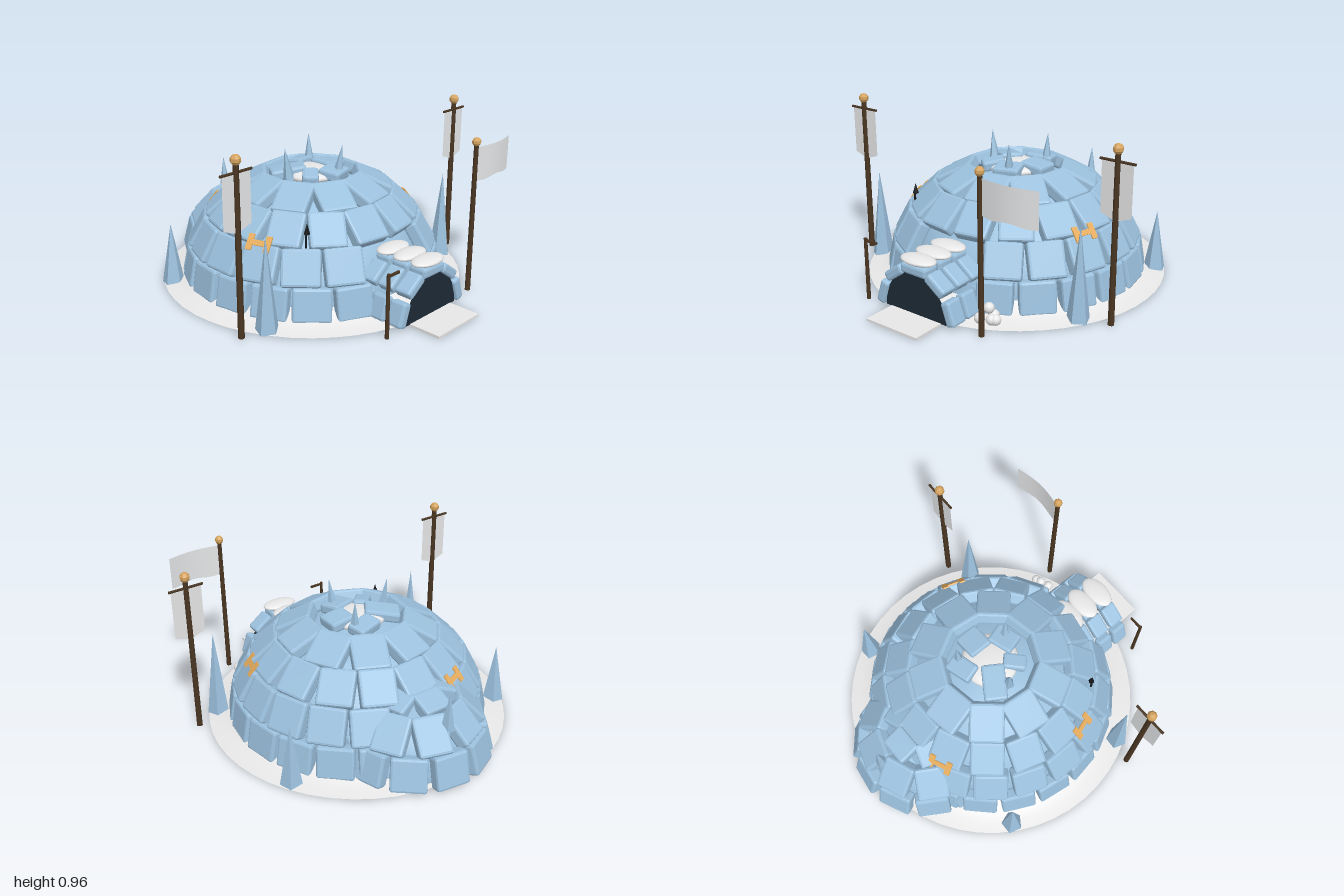
import * as THREE from 'three';
import { RoundedBoxGeometry } from 'three/addons/geometries/RoundedBoxGeometry.js';

const mat = (name, color, side = THREE.FrontSide) => {
  const m = new THREE.MeshStandardMaterial({ color, side });
  m.name = name;
  return m;
};

export function createModel() {
  const model = new THREE.Group();
  const ice = mat('ice blue', 0x9cc1de, THREE.DoubleSide);
  const snow = mat('snow', 0xf0f0f0, THREE.DoubleSide);
  const cloth = mat('pale cloth', 0xe6e7e8, THREE.DoubleSide);
  const wood = mat('dark wood', 0x4a3622);
  const gold = mat('gold', 0xd6a45e);
  const rune = mat('amber rune', 0xeab060);
  const dark = mat('dark doorway', 0x1d2a36, THREE.DoubleSide);
  const black = mat('black', 0x15171a);

  let seed = 7;
  const jitter = (amount) => {
    seed = (seed * 16807) % 2147483647;
    return (seed / 2147483647 - 0.5) * 2 * amount;
  };
  const add = (name, geometry, material, x = 0, y = 0, z = 0, parent = model) => {
    const mesh = new THREE.Mesh(geometry, material);
    mesh.name = name;
    mesh.position.set(x, y, z);
    parent.add(mesh);
    return mesh;
  };
  const faceted = (geometry) => {
    const g = geometry.index ? geometry.toNonIndexed() : geometry;
    g.computeVertexNormals();
    return g;
  };
  // Ice block with chamfered edges
  const block = (w, h, d) => faceted(new RoundedBoxGeometry(w, h, d, 1, 0.014));
  const knob = (r) => faceted(new THREE.SphereGeometry(r, 8, 5));

  // Puts an object on an elliptical dome: azimuth from +z, height y, facing outward
  const placeOnDome = (object, dome, azimuth, y) => {
    const s = Math.min(y / dome.b, 0.999), c = Math.sqrt(1 - s * s), r = dome.a * c;
    object.position.set(r * Math.sin(azimuth), y, dome.z + r * Math.cos(azimuth));
    object.rotation.set(-Math.atan2(s / dome.b, c / dome.a), azimuth, 0, 'YXZ');
    return object;
  };

  // Smooth shell plus tilted rows of blocks
  const buildDome = (name, dome, rows) => {
    const shell = add(name + 'Shell', new THREE.SphereGeometry(1, 48, 20, 0, Math.PI * 2, 0, Math.PI / 2), ice, 0, 0.005, dome.z);
    shell.scale.set(dome.a - 0.052, dome.b - 0.045, dome.a - 0.052);
    const radius = (y) => dome.a * Math.sqrt(Math.max(0, 1 - (y / dome.b) ** 2));
    rows.forEach(({ y0, y1, n, phase, gap = 0 }, i) => {
      const row = new THREE.Group();
      row.name = name + 'Row' + (i + 1);
      model.add(row);
      const y = (y0 + y1) / 2;
      const height = Math.hypot(y1 - y0, radius(y0) - radius(y1)) * 1.02;
      const width = (Math.PI * 2 * radius(y) / n) * 0.92;
      for (let k = 0; k < n; k++) {
        const azimuth = ((k + phase) / n) * Math.PI * 2;
        const x = radius(y) * Math.sin(azimuth);
        if (Math.abs(x) < gap && Math.cos(azimuth) > 0) continue;
        const b = add('iceBlock', block(width * (1 + jitter(0.04)), height, 0.075), ice, 0, 0, 0, row);
        placeOnDome(b, dome, azimuth, y);
        b.rotation.x += jitter(0.03);
        b.rotation.z += jitter(0.03);
      }
    });
  };
  buildDome('mainDome', { a: 0.70, b: 0.62, z: -0.06 }, [
    { y0: 0.015, y1: 0.19, n: 20, phase: 0.5, gap: 0.25 },
    { y0: 0.19, y1: 0.36, n: 18, phase: 0.5, gap: 0.2 },
    { y0: 0.36, y1: 0.495, n: 15, phase: 0.5 },
    { y0: 0.495, y1: 0.587, n: 10, phase: 0.3 },
  ]);
  buildDome('rearDome', { a: 0.395, b: 0.385, z: -0.56 }, [
    { y0: 0.015, y1: 0.19, n: 11, phase: 0.25 },
    { y0: 0.19, y1: 0.335, n: 9, phase: 0 },
    { y0: 0.335, y1: 0.38, n: 5, phase: 0.5 },
  ]);

  // Loose blocks on the crown: [x, z, width, depth, turn]
  for (const [x, z, w, d, turn] of [[-0.12, -0.13, 0.2, 0.13, -0.6], [0.135, -0.065, 0.15, 0.14, 0], [0.04, 0.075, 0.15, 0.13, 0.3], [-0.1, 0.03, 0.13, 0.09, 0.8], [0.06, -0.21, 0.16, 0.11, 0.25]]) {
    const b = add('crownBlock', block(w, 0.06, d), ice, x, 0.607, z);
    b.rotation.set((z + 0.06) * 0.9, turn, -x * 0.9);
  }

  // Snow drift around the base, on the crown and at the doorstep
  const drift = [[0.86, 0.003], [0.8, 0.011], [0.75, 0.024], [0.71, 0.043], [0.67, 0.075]];
  add('snowDrift', new THREE.LatheGeometry(drift.map((p) => new THREE.Vector2(...p)), 48), snow, 0, 0, -0.06);
  add('snowCrown', new THREE.SphereGeometry(0.16, 24, 12), snow, 0, 0.59, -0.06).scale.y = 0.25;
  add('doorstep', new THREE.BoxGeometry(0.34, 0.014, 0.22), snow, 0, 0.008, 0.89);

  // Entrance tunnel: three arches, each topped with a snow pad
  for (const z of [0.55, 0.665, 0.78]) {
    const arch = new THREE.Group();
    arch.name = 'entranceArch';
    model.add(arch);
    for (let k = 0; k < 5; k++) {
      const t = ((k + 0.5) / 5) * Math.PI;
      const b = add('archBlock', block(0.055, k === 2 ? 0.17 : 0.135, 0.1), ice, 0.235 * Math.cos(t), 0.262 * Math.sin(t), z, arch);
      b.rotation.z = t + jitter(0.04);
    }
    add('snowPad', new THREE.SphereGeometry(0.11, 20, 12), snow, 0, 0.308, z, arch).scale.set(1, 0.2, 0.6);
  }
  add('doorway', new THREE.CircleGeometry(0.207, 28, 0, Math.PI), dark, 0, 0.012, 0.815).scale.y = 1.13;

  // Ice spikes: [base x, y, z, tip x, y, z, radius]
  for (const [x, y, z, tx, ty, tz, r] of [
    [-0.71, 0, 0.33, -0.71, 0.515, 0.33, 0.064], [0.69, 0, 0.35, 0.69, 0.515, 0.35, 0.064],
    [-0.69, 0, -0.48, -0.69, 0.35, -0.48, 0.064], [0.7, 0, -0.45, 0.7, 0.35, -0.45, 0.064],
    [-0.165, 0.58, -0.07, -0.19, 0.77, -0.08, 0.035], [0.11, 0.58, -0.19, 0.115, 0.77, -0.2, 0.035],
    [0.055, 0.58, 0.09, 0.07, 0.77, 0.11, 0.035], [0.01, 0.28, -0.85, 0.01, 0.505, -0.86, 0.04],
  ]) {
    const dir = new THREE.Vector3(tx - x, ty - y, tz - z);
    const spike = add('iceSpike', faceted(new THREE.ConeGeometry(r, dir.length(), 5)), ice, (x + tx) / 2, (y + ty) / 2, (z + tz) / 2);
    spike.quaternion.setFromUnitVectors(new THREE.Vector3(0, 1, 0), dir.normalize());
  }

  // Poles with gold knobs
  const pole = (name, x, z, height, r) => {
    const g = new THREE.Group();
    g.name = name;
    g.position.set(x, 0, z);
    model.add(g);
    add('pole', new THREE.CylinderGeometry(r * 0.85, r, height, 8), wood, 0, height / 2, 0, g);
    return g;
  };
  for (const side of [-1, 1]) {
    const g = pole('bannerPole', side * 0.847, 0.29, 0.91, 0.017);
    add('knob', knob(0.028), gold, 0, 0.928, 0, g);
    add('crossbar', new THREE.CylinderGeometry(0.007, 0.007, 0.195, 6), wood, 0, 0.866, 0, g).rotation.z = Math.PI / 2;
    const outline = [[-0.087, 0.86], [-0.087, 0.592], [0, 0.56], [0.087, 0.592], [0.087, 0.86]];
    add('banner', new THREE.ShapeGeometry(new THREE.Shape(outline.map((p) => new THREE.Vector2(...p)))), cloth, 0, 0, 0, g);
  }

  // Waving flag
  const flagPole = pole('flagPole', 0.395, 0.77, 0.84, 0.015);
  add('knob', knob(0.025), gold, 0, 0.855, 0, flagPole);
  const flag = new THREE.PlaneGeometry(0.315, 0.185, 16, 1);
  const p = flag.attributes.position;
  for (let i = 0; i < p.count; i++) {
    const u = p.getX(i) / 0.315 + 0.5;
    p.setZ(i, 0.022 * Math.sin(u * Math.PI) - 0.012 * u);
    if (p.getY(i) < 0) p.setY(i, p.getY(i) - 0.006 * Math.sin(u * 9));
  }
  flag.computeVertexNormals();
  add('flag', flag, cloth, 0.17, 0.73, 0, flagPole);

  // Short post with a side arm
  const post = pole('armPost', -0.345, 0.81, 0.35, 0.011);
  add('arm', new THREE.BoxGeometry(0.08, 0.012, 0.012), wood, 0.04, 0.338, 0, post);

  // Snowball pile
  for (const [x, y, z] of [[0.31, 0.035, 0.68], [0.37, 0.035, 0.66], [0.35, 0.035, 0.61], [0.39, 0.035, 0.65], [0.345, 0.088, 0.645]])
    add('snowball', new THREE.SphereGeometry(0.029, 14, 10), snow, x, y, z);

  // Amber runes on the dome: two uprights joined by a crossbar [x, y, width, height]
  const outer = { a: 0.745, b: 0.665, z: -0.06 };
  for (const azimuth of [1.25, -1.25, -2.75]) {
    const sign = placeOnDome(new THREE.Group(), outer, azimuth, 0.383);
    sign.name = 'rune';
    model.add(sign);
    for (const [bx, by, w, h] of [[0, 0, 0.08, 0.03], [-0.052, 0, 0.034, 0.088], [0.052, 0, 0.034, 0.088]])
      add('runeBar', new THREE.BoxGeometry(w, h, 0.008), rune, bx, by, 0, sign);
  }

  // Small dark vent on the dome
  add('ventStem', new THREE.CylinderGeometry(0.006, 0.006, 0.1, 6), black, -0.432, 0.42, 0.33);
  add('ventCap', new THREE.ConeGeometry(0.017, 0.06, 6), black, -0.425, 0.475, 0.33);

  return model;
}
